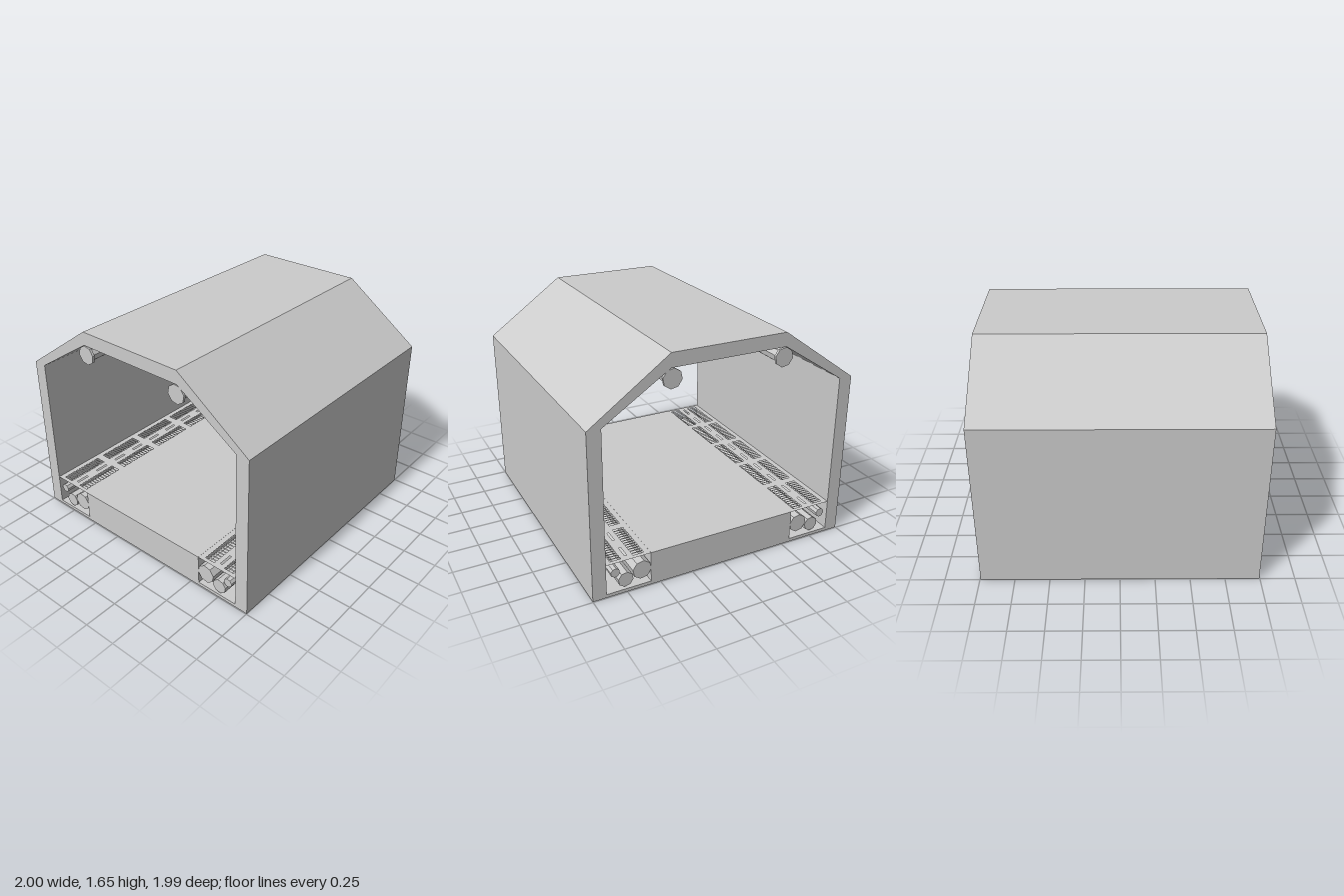
import * as THREE from 'three';

const HALF = 0.995; // half length of the corridor
const PANELS = 5;
const STEP = (2 * HALF) / PANELS;

function material(side = THREE.FrontSide) {
  return new THREE.MeshStandardMaterial({ color: 0xcccccc, flatShading: true, side });
}

function add(group, name, geometry, mat) {
  const mesh = new THREE.Mesh(geometry, mat);
  mesh.name = name;
  group.add(mesh);
  return mesh;
}

const toPoints = (list) => list.map(([x, y]) => new THREE.Vector2(x, y));

// Walls, roof, raised floor and side channels as one extruded section
function shellGeometry() {
  const shape = new THREE.Shape(toPoints([
    [-1, 0], [1, 0], [1, 1.245], [0.425, 1.655], [-0.425, 1.655], [-1, 1.245],
  ]));
  const half = [[0.57, 0.255], [0.57, 0.025], [0.9, 0.025], [0.9, 1.245], [0.425, 1.555]];
  const mirrored = half.map(([x, y]) => [-x, y]).reverse();
  shape.holes.push(new THREE.Path(toPoints([...half, ...mirrored])));
  const geo = new THREE.ExtrudeGeometry(shape, { depth: 2 * HALF, bevelEnabled: false });
  geo.translate(0, 0, -HALF);
  return geo;
}

// Eight-sided pipe along z, with optional collars at the panel joints and end caps
function pipeGeometry(radius, collarRadius) {
  const pts = [[0, -HALF]];
  if (collarRadius) {
    const w = 0.018;
    for (let i = 0; i <= PANELS; i++) {
      const z = -HALF + i * STEP;
      const a = Math.max(z - w, -HALF), b = Math.min(z + w, HALF);
      if (i > 0) pts.push([radius, a]);
      pts.push([collarRadius, a], [collarRadius, b]);
      if (i < PANELS) pts.push([radius, b]);
    }
  } else {
    pts.push([radius, -HALF], [radius, HALF]);
  }
  pts.push([0, HALF]);
  const geo = new THREE.LatheGeometry(toPoints(pts), 8, Math.PI / 16);
  geo.rotateX(Math.PI / 2);
  return geo;
}

function rectHole(x0, x1, y0, y1) {
  return new THREE.Path(toPoints([[x0, y0], [x0, y1], [x1, y1], [x1, y0]]));
}

// Thin floor panel with two rows of cross slits and a dashed centre line
function grateGeometry() {
  const width = 0.33, l = STEP / 2;
  const shape = new THREE.Shape(toPoints([[0, -l], [width, -l], [width, l], [0, l]]));
  const slits = 13, pitch = (STEP - 0.05) / slits;
  for (const x of [0.08, 0.25]) {
    for (let i = 0; i < slits; i++) {
      const y = (i - (slits - 1) / 2) * pitch;
      shape.holes.push(rectHole(x - 0.04, x + 0.04, y - pitch * 0.3, y + pitch * 0.3));
    }
  }
  for (const y of [-l / 2, l / 2]) {
    shape.holes.push(rectHole(0.157, 0.173, y - 0.05, y + 0.05));
  }
  const geo = new THREE.ShapeGeometry(shape);
  geo.rotateX(-Math.PI / 2);
  return geo;
}

export function createModel() {
  const group = new THREE.Group();
  group.name = 'corridorSection';
  const solid = material();
  const thin = material(THREE.DoubleSide);
  add(group, 'corridorShell', shellGeometry(), solid);

  const pipes = [
    ['ceilingPipe', 0.415, 1.482, pipeGeometry(0.052, 0.07)],
    ['largeFloorPipe', 0.637, 0.14, pipeGeometry(0.07)],
    ['mediumFloorPipe', 0.758, 0.1, pipeGeometry(0.056)],
    ['smallFloorPipe', 0.834, 0.176, pipeGeometry(0.034)],
  ];
  const grate = grateGeometry();

  for (const [side, s] of [['left', 1], ['right', -1]]) {
    for (const [name, x, y, geo] of pipes) {
      add(group, `${side} ${name}`, geo, solid).position.set(s * x, y, 0);
    }
    // Grates bridge the channel between raised floor and wall
    for (let i = 0; i < PANELS; i++) {
      const x = s > 0 ? 0.57 : -0.9;
      add(group, `${side} floorGrate`, grate, thin)
        .position.set(x, 0.254, -HALF + (i + 0.5) * STEP);
    }
  }
  return group;
}
